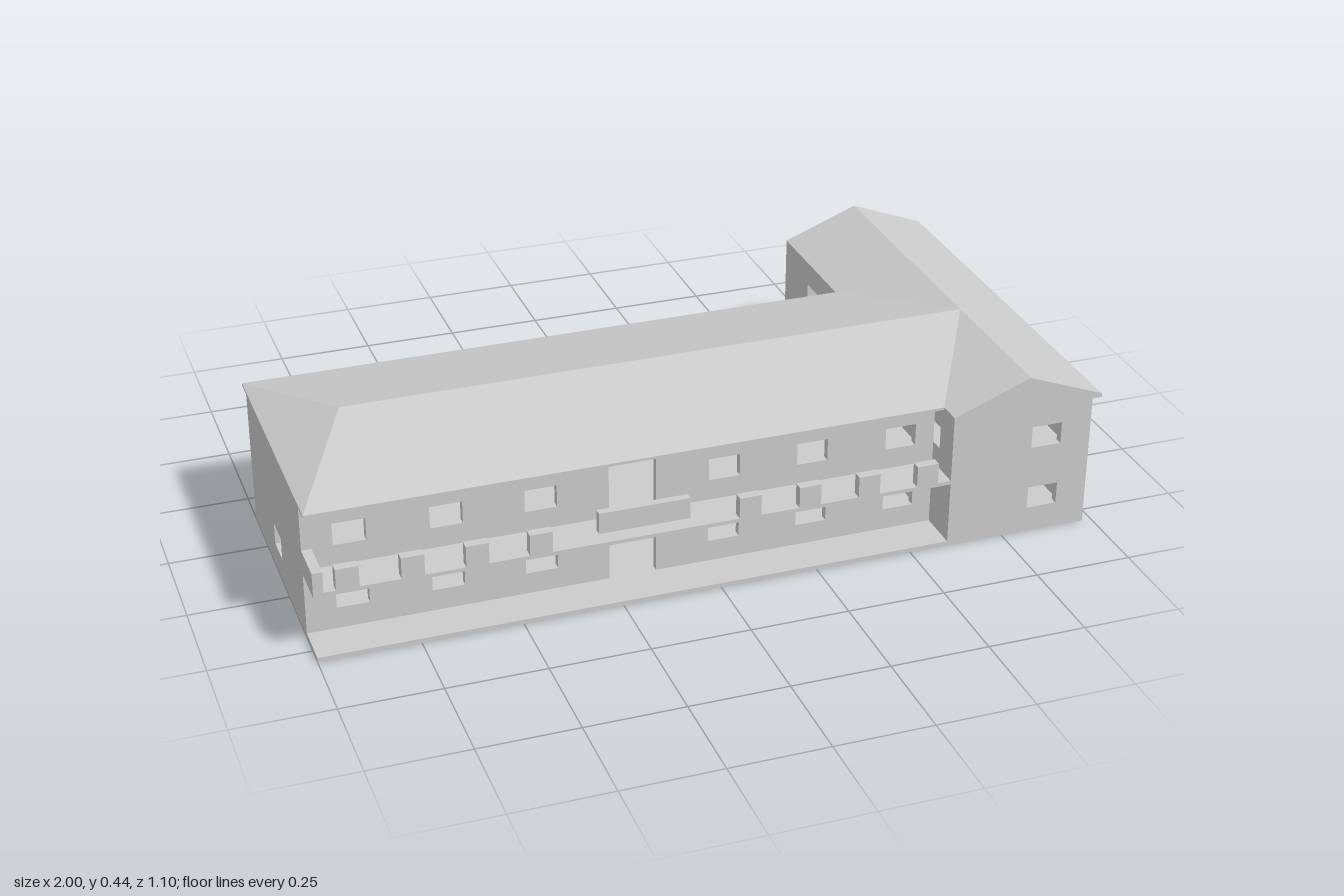
import * as THREE from 'three';
import { ConvexGeometry } from 'three/addons/geometries/ConvexGeometry.js';

const material = new THREE.MeshStandardMaterial({ color: 0xcccccc, flatShading: true });
const T = 0.02; // wall thickness
const WALL_TOP = 0.355;
const LOW = 0.097, HIGH = 0.268; // window centre heights

export function createModel() {
  const model = new THREE.Group();
  model.name = 'building';

  function add(name, geometry, parent = model) {
    const mesh = new THREE.Mesh(geometry, material);
    mesh.name = name;
    parent.add(mesh);
    return mesh;
  }

  // Box given by its extents on each axis
  function box(name, x0, x1, y0, y1, z0, z1, parent) {
    const mesh = add(name, new THREE.BoxGeometry(x1 - x0, y1 - y0, z1 - z0), parent);
    mesh.position.set((x0 + x1) / 2, (y0 + y1) / 2, (z0 + z1) / 2);
    return mesh;
  }

  function rect(PathType, u0, u1, y0, y1) {
    const p = new PathType();
    p.moveTo(u0, y0);
    p.lineTo(u1, y0);
    p.lineTo(u1, y1);
    p.lineTo(u0, y1);
    p.closePath();
    return p;
  }

  const windowHole = (u, y) => [u - 0.04, u + 0.04, y - 0.029, y + 0.029];

  // Wall running along x, with its openings cut through
  function wall(name, u0, u1, holes, z) {
    const shape = rect(THREE.Shape, u0, u1, 0, WALL_TOP);
    shape.holes = holes.map((h) => rect(THREE.Path, ...h));
    const mesh = add(name, new THREE.ExtrudeGeometry(shape, { depth: T, bevelEnabled: false }));
    mesh.position.z = z;
    return mesh;
  }

  // Wall running along z, its right face at x
  function sideWall(name, z0, z1, holes, x) {
    const mesh = wall(name, z0, z1, holes, 0);
    mesh.rotation.y = -Math.PI / 2;
    mesh.position.x = x;
  }

  // Main block walls
  const columns = [-0.885, -0.652, -0.42, 0.045, 0.275, 0.51];
  const upper = columns.map((x) => windowHole(x, HIGH));
  const lower = columns.map((x) => windowHole(x, LOW));
  const doors = [[-0.25, -0.13, 0.012, 0.16], [-0.25, -0.13, 0.187, 0.335]];
  wall('mainFrontWall', -1, 0.6, [...upper, ...lower, ...doors], 0.42);
  wall('mainBackWall', -1, 0.6, [...upper, ...lower.slice(1)], -0.15);
  sideWall('mainEndWall', -0.13, 0.42, [windowHole(0.145, LOW)], -1 + T);

  // Wing walls
  const both = (u) => [windowHole(u, LOW), windowHole(u, HIGH)];
  wall('wingFrontWall', 0.6, 0.975, both(0.855), 0.53);
  wall('wingBackWall', 0.6, 0.975, [...both(0.705), ...both(0.855)], -0.55);
  sideWall('wingOuterWall', -0.53, 0.53, [0.437, 0.147, -0.145, -0.435].flatMap(both), 0.975);
  sideWall('wingInnerWall', -0.53, 0.53, [...both(-0.35), windowHole(0.437, HIGH)], 0.6 + T);

  // Floors and inner partitions
  box('mainFloor', -1 + T, 0.6, 0, 0.012, -0.13, 0.42);
  box('mainUpperFloor', -1 + T, 0.6, 0.175, 0.185, -0.13, 0.42);
  box('wingFloor', 0.62, 0.955, 0, 0.012, -0.53, 0.53);
  box('wingUpperFloor', 0.62, 0.955, 0.175, 0.185, -0.53, 0.53);
  box('lowerPartition', -1 + T, 0.6, 0.012, 0.175, 0.14, 0.15);
  box('stairPartition', 0.4, 0.6, 0.185, 0.35, 0.14, 0.15);
  box('wingPartition', 0.62, 0.955, 0.012, 0.35, -0.005, 0.005);

  // Gabled wing roof
  const gable = new THREE.Shape([
    [0.6, 0.35], [1, 0.35], [1, 0.36], [0.8, 0.437], [0.6, 0.36],
  ].map(([x, y]) => new THREE.Vector2(x, y)));
  add('wingRoof', new THREE.ExtrudeGeometry(gable, { depth: 1.1, bevelEnabled: false }))
    .position.z = -0.55;

  // Main roof: hipped at the left end, running into the wing roof at the other
  const points = [new THREE.Vector3(-0.83, 0.437, 0.145), new THREE.Vector3(0.8, 0.437, 0.145)];
  for (const x of [-1, 0.6])
    for (const y of [0.353, 0.36])
      for (const z of [-0.2, 0.49]) points.push(new THREE.Vector3(x, y, z));
  add('mainRoof', new ConvexGeometry(points));

  // Terrace and balcony
  box('terrace', -1, 0.6, 0, 0.012, 0.44, 0.55);
  const balcony = new THREE.Group();
  balcony.name = 'balcony';
  model.add(balcony);
  box('balconySlab', -1, 0.6, 0.175, 0.185, 0.44, 0.55, balcony);
  box('balconyEndRail', -1, -0.975, 0.185, 0.24, 0.44, 0.55, balcony);
  for (const start of [-0.918, 0.072])
    for (let i = 0; i < 4; i++) {
      const x = start + i * 0.155;
      box('railPanel', x - 0.028, x + 0.028, 0.185, 0.24, 0.525, 0.55, balcony);
    }
  box('centrePanel', -0.305, -0.075, 0.2, 0.255, 0.512, 0.532, balcony);

  return model;
}
